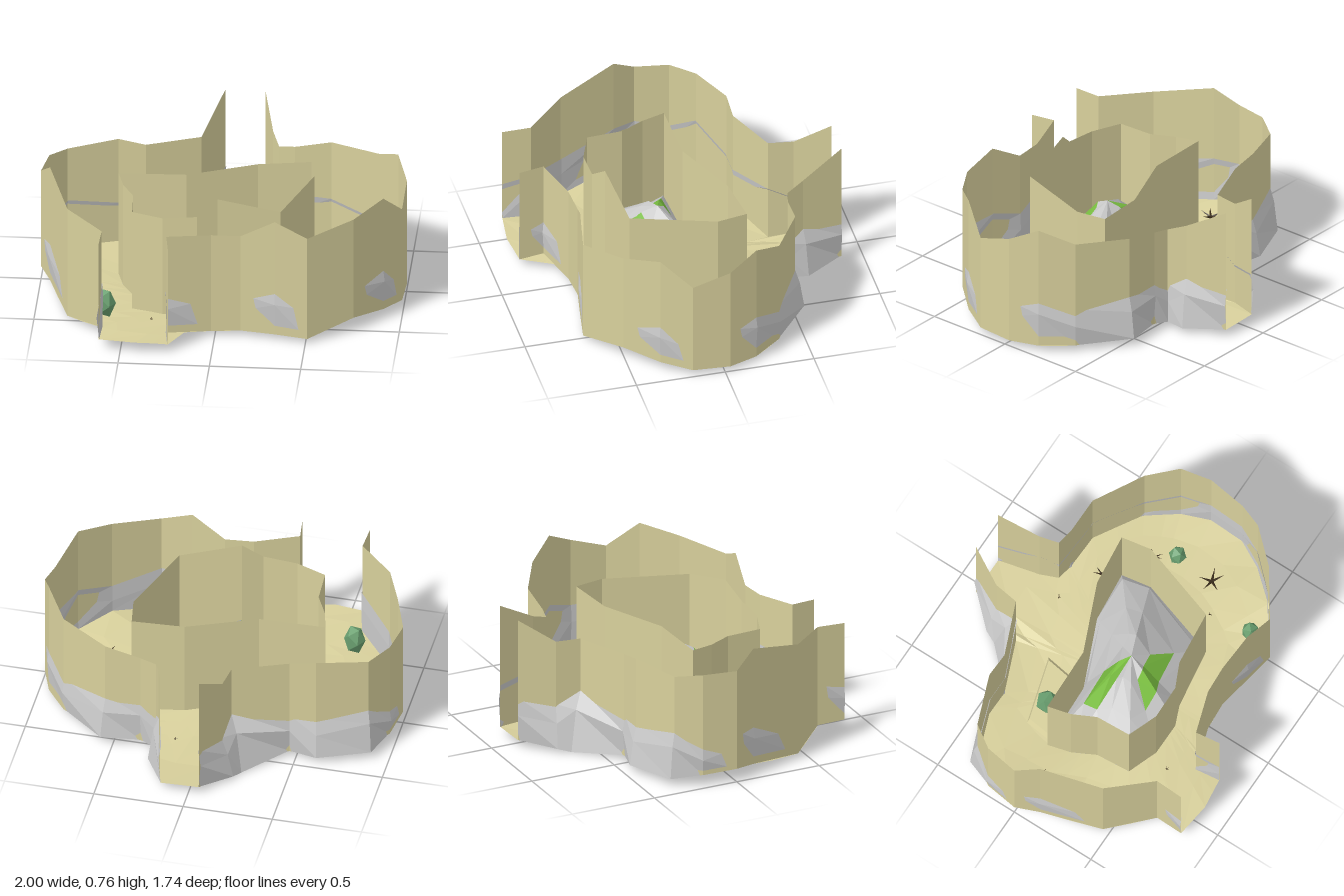
import * as THREE from 'three';

const mat = (color) => new THREE.MeshStandardMaterial({ color, flatShading: true, side: THREE.DoubleSide });

// outer wall runs, each from one gate to the other: [x, z, top height, flare of the rock foot]
const EAST = [[.16, -.87, .77], [.22, -.64, .64, .06], [.26, -.54, .6, .02], [.35, -.52, .61], [.55, -.51, .65, .05],
  [.82, -.35, .67], [.94, -.19, .75], [1, -.03, .67], [.99, .18, .6], [.9, .34, .74], [.75, .51, .69], [.51, .675, .645],
  [.33, .645, .725], [.14, .61, .615], [-.02, .62, .62], [-.26, .7, .64], [-.24, .84, .635]];
const WEST = [[-.62, .84, .645], [-.615, .68, .65], [-.82, .46, .67], [-.94, .13, .755], [-1, 0, .67], [-.97, -.19, .67],
  [-.88, -.32, .65, .04], [-.61, -.42, .67, .045], [-.46, -.42, .64], [-.165, -.54, .64, .12], [-.145, -.68, .64, .07],
  [-.06, -.87, .77]];
// inner wall loop
const INNER = [[-.58, -.06, .64], [-.21, -.07, .64], [.17, -.23, .64], [.46, -.26, .65], [.49, -.09, .65], [.34, .37, .65],
  [0, .42, .74], [-.11, .465, .65], [-.3, .465, .635], [-.47, .4, .635], [-.48, .2, .635], [-.545, .07, .635]];
const PEAK = [-.02, .44, .12];

// rolling ground with a few humps and dips: [x, z, height]
const HUMPS = [[-.25, -.5, -.045], [.77, .45, .04], [.51, .7, -.035], [.3, .6, .02], [-.82, .46, -.03], [-1, -.05, .02],
  [.05, -.9, .03]];
const groundY = (x, z) => HUMPS.reduce(
  (y, [hx, hz, h]) => y + h * Math.exp(-20 * ((x - hx) ** 2 + (z - hz) ** 2)),
  .05 + .025 * Math.sin(5 * x + 1) * Math.cos(4 * z));

function fromPositions(pos) {
  const g = new THREE.BufferGeometry();
  g.setAttribute('position', new THREE.Float32BufferAttribute(pos, 3));
  g.computeVertexNormals();
  return g;
}

// skin a list of equally long rows of points
function loft(rows, closed = false) {
  const pos = [];
  for (let r = 0; r + 1 < rows.length; r++) {
    const a = rows[r], b = rows[r + 1], n = a.length;
    for (let i = 0; i < (closed ? n : n - 1); i++) {
      const j = (i + 1) % n;
      pos.push(...a[i], ...a[j], ...b[j], ...a[i], ...b[j], ...b[i]);
    }
  }
  return fromPositions(pos);
}

// upright thin wall following the ground
const wall = (pts, closed) => loft([
  pts.map(([x, z]) => [x, groundY(x, z), z]),
  pts.map(([x, z, h]) => [x, h, z]),
], closed);

// rough rock foot that weaves through a wall
function rockFoot(pts) {
  const rows = [[], [], []];
  pts.forEach(([x, z, , flare], i) => {
    const p = pts[Math.max(i - 1, 0)], q = pts[Math.min(i + 1, pts.length - 1)];
    const dx = q[0] - p[0], dz = q[1] - p[1], l = Math.hypot(dx, dz);
    const at = (offset, y) => [x + dz / l * offset, y, z - dx / l * offset];
    const wave = .04 * Math.sin(i * 2.3);
    const bulge = z < -.1 || i % 3 === 0 ? .01 : -.008;
    rows[0].push(at(flare ?? -.004, groundY(x, z)));
    rows[1].push(at(flare ? flare * .5 : bulge, .2 + wave));
    rows[2].push(at(-.006, .3 + wave));
  });
  return loft(rows);
}

// distance from the peak to an outline in a given direction
function reach(outline, angle) {
  const c = Math.cos(angle), s = Math.sin(angle);
  let far = 0;
  outline.forEach(([x, z], i) => {
    const [x2, z2] = outline[(i + 1) % outline.length];
    const ax = x - PEAK[0], az = z - PEAK[2], ex = x2 - x, ez = z2 - z;
    const d = c * ez - s * ex;
    if (Math.abs(d) < 1e-9) return;
    const t = (ax * ez - az * ex) / d, u = (ax * s - az * c) / d;
    if (u > -1e-6 && u < 1 + 1e-6) far = Math.max(far, t);
  });
  return far;
}

// sandy ground between the outer outline and the inner wall
function groundGeometry() {
  const outer = [...EAST, [-.42, .865], ...WEST];
  const angles = [...outer, ...INNER].map(([x, z]) => Math.atan2(z - PEAK[2], x - PEAK[0])).sort((a, b) => a - b);
  const spans = angles.map((a) => [a, reach(INNER, a), reach(outer, a)]);
  return loft([0, .35, .7, 1].map((f) => spans.map(([a, near, far]) => {
    const r = near + (far - near) * f;
    const x = PEAK[0] + Math.cos(a) * r, z = PEAK[2] + Math.sin(a) * r;
    return [x, groundY(x, z), z];
  })), true);
}

export function createModel() {
  const model = new THREE.Group();
  const sand = mat(0xd8d09c), rock = mat(0xcccccc), moss = mat(0x7cc242);
  const leaf = mat(0x6aa070), wood = mat(0x3a2c1a);
  const add = (name, geometry, material, parent = model) => {
    const m = new THREE.Mesh(geometry, material);
    m.name = name;
    parent.add(m);
    return m;
  };

  // ground, cliffs and their rocky feet
  add('ground', groundGeometry(), sand);
  add('eastCliff', wall(EAST), sand);
  add('westCliff', wall(WEST), sand);
  add('innerCliff', wall(INNER, true), sand);
  add('eastRockFoot', rockFoot(EAST), rock);
  add('westRockFoot', rockFoot(WEST), rock);

  // central rock mound with mossy sectors
  const ring = (f, y) => INNER.map(([x, z], i) => [
    PEAK[0] + (x - PEAK[0]) * f, y + .03 * Math.sin(i * 2.1), PEAK[2] + (z - PEAK[2]) * f]);
  const base = INNER.map(([x, z]) => [x, groundY(x, z), z]);
  const rings = [base, ring(.92, .12), ring(.57, .25), ring(.25, .37), INNER.map(() => PEAK)];
  const rockPos = [], mossPos = [], n = INNER.length;
  for (let r = 0; r < 4; r++) for (let i = 0; i < n; i++) {
    const j = (i + 1) % n, a = rings[r], b = rings[r + 1];
    const green = (r > 1 && (i === 0 || i === 11)) || (r === 2 && i >= 5 && i <= 7);
    const out = green ? mossPos : rockPos;
    out.push(...a[i], ...b[j], ...a[j]);
    if (r < 3) out.push(...a[i], ...b[i], ...b[j]);
  }
  add('centralRock', fromPositions(rockPos), rock);
  add('moss', fromPositions(mossPos), moss);

  // low sand terrace beside the inner cliff
  const terrace = [[-.54, -.22], [-.16, -.33], [-.2, -.08], [-.56, -.06]];
  const scaled = (f, y) => terrace.map(([x, z]) => [-.37 + (x + .37) * f, y, -.17 + (z + .17) * f]);
  add('terrace', loft([scaled(1, .05), scaled(.9, .08), scaled(0, .08)], true), sand);

  // faceted shrubs
  [[-.4, -.18, .065], [.71, -.06, .05], [-.61, .51, .06], [.55, .52, .05]].forEach(([x, z, r], i) => {
    const shrub = add('shrub', new THREE.IcosahedronGeometry(r, 0), leaf);
    shrub.scale.y = 1.5;
    shrub.rotation.y = i * 1.3;
    shrub.position.set(x, groundY(x, z) + r * 1.4, z);
  });

  // dead branches sprawling on the sand: x, z, size
  [[-.78, .02, .07], [.4, -.35, .055], [.65, -.17, .05], [.7, .17, .08], [.31, .57, .05],
    [.165, -.475, .016], [-.665, .35, .016], [-.35, .57, .016], [.53, .27, .016]].forEach(([x, z, s], k) => {
    const bush = new THREE.Group();
    bush.name = 'deadBranches';
    bush.position.set(x, groundY(x, z) + .01, z);
    for (let i = 0; i < 5; i++) {
      const twig = new THREE.ConeGeometry(s * .11, s, 4);
      twig.translate(0, s / 2, 0);
      const m = add('twig', twig, wood, bush);
      m.rotation.set(0, k + i * 1.26 + .3 * Math.sin(i * 3 + k), -1.15, 'YXZ');
    }
    model.add(bush);
  });
  return model;
}
